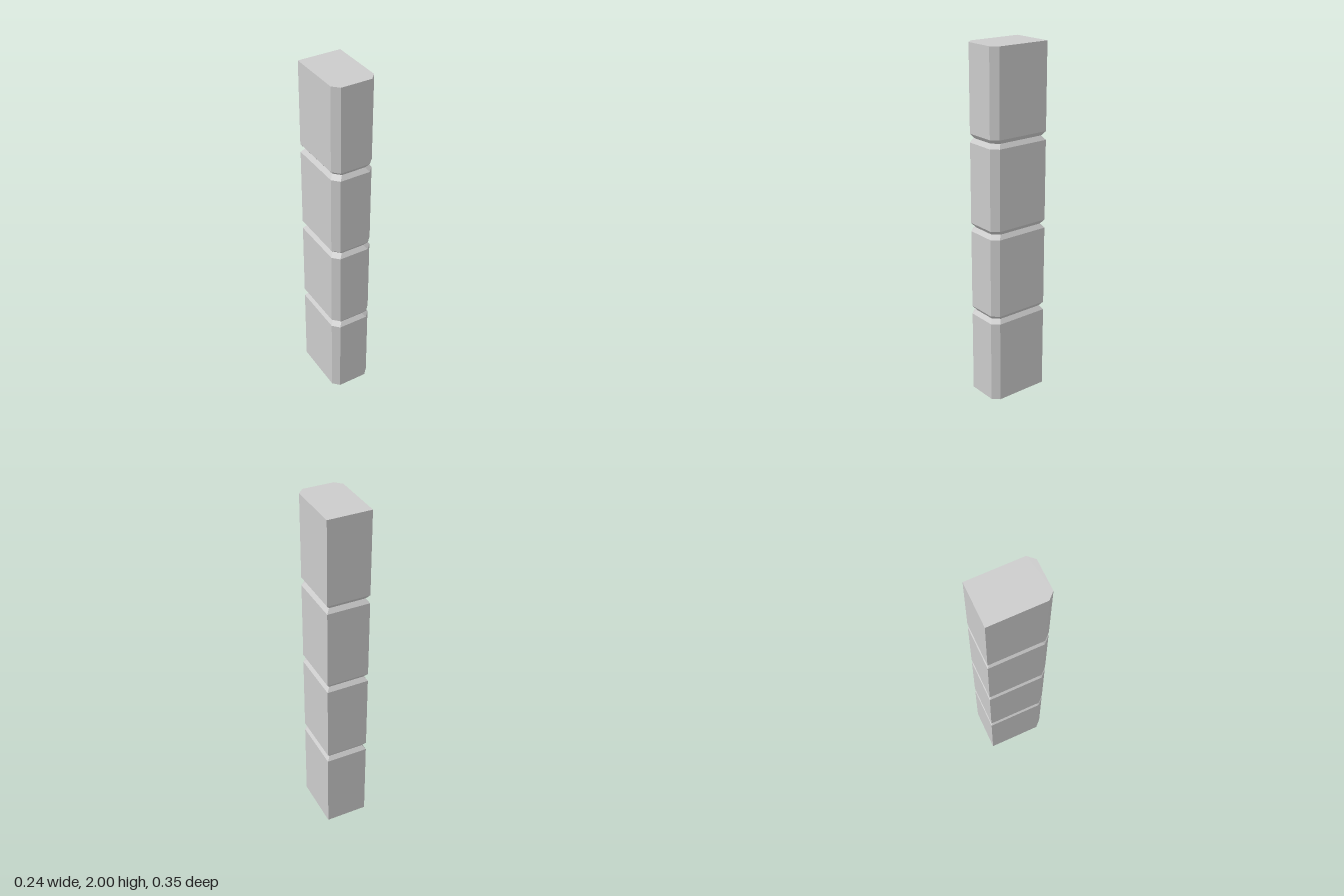
import * as THREE from 'three';

// Plan outline (x, z): square back corners, chamfered front corners
const OUTLINE = [
  [-0.086, 0.174], [0.086, 0.174], [0.121, 0.137],
  [0.121, -0.174], [-0.121, -0.174], [-0.121, 0.137],
];
const GROOVE_DEPTH = 0.018;
const GROOVE_HALF = 0.024;

// Outline at height y, pulled in towards the middle by inset
function ring(y, inset) {
  return OUTLINE.map(([x, z]) => [x - Math.sign(x) * inset, y, z - Math.sign(z) * inset]);
}

// Skin stacked rings and close both ends
function loft(rings) {
  const positions = [];
  const triangle = (a, b, c) => positions.push(...a, ...b, ...c);
  const n = OUTLINE.length;
  for (let r = 0; r < rings.length - 1; r++) {
    const low = rings[r], high = rings[r + 1];
    for (let i = 0; i < n; i++) {
      const j = (i + 1) % n;
      triangle(low[i], low[j], high[j]);
      triangle(low[i], high[j], high[i]);
    }
  }
  const bottom = rings[0], top = rings[rings.length - 1];
  for (let i = 1; i < n - 1; i++) {
    triangle(bottom[0], bottom[i + 1], bottom[i]);
    triangle(top[0], top[i], top[i + 1]);
  }
  const geometry = new THREE.BufferGeometry();
  geometry.setAttribute('position', new THREE.Float32BufferAttribute(positions, 3));
  geometry.computeVertexNormals();
  return geometry;
}

export function createModel() {
  const group = new THREE.Group();
  group.name = 'groovedPillar';

  // One solid post with a V groove at each quarter of its height
  const rings = [ring(0, 0)];
  for (const y of [0.5, 1, 1.5]) {
    rings.push(ring(y - GROOVE_HALF, 0), ring(y, GROOVE_DEPTH), ring(y + GROOVE_HALF, 0));
  }
  rings.push(ring(2, 0));

  const material = new THREE.MeshStandardMaterial({ color: 0xcccccc, flatShading: true });
  const post = new THREE.Mesh(loft(rings), material);
  post.name = 'pillar';
  group.add(post);
  return group;
}
